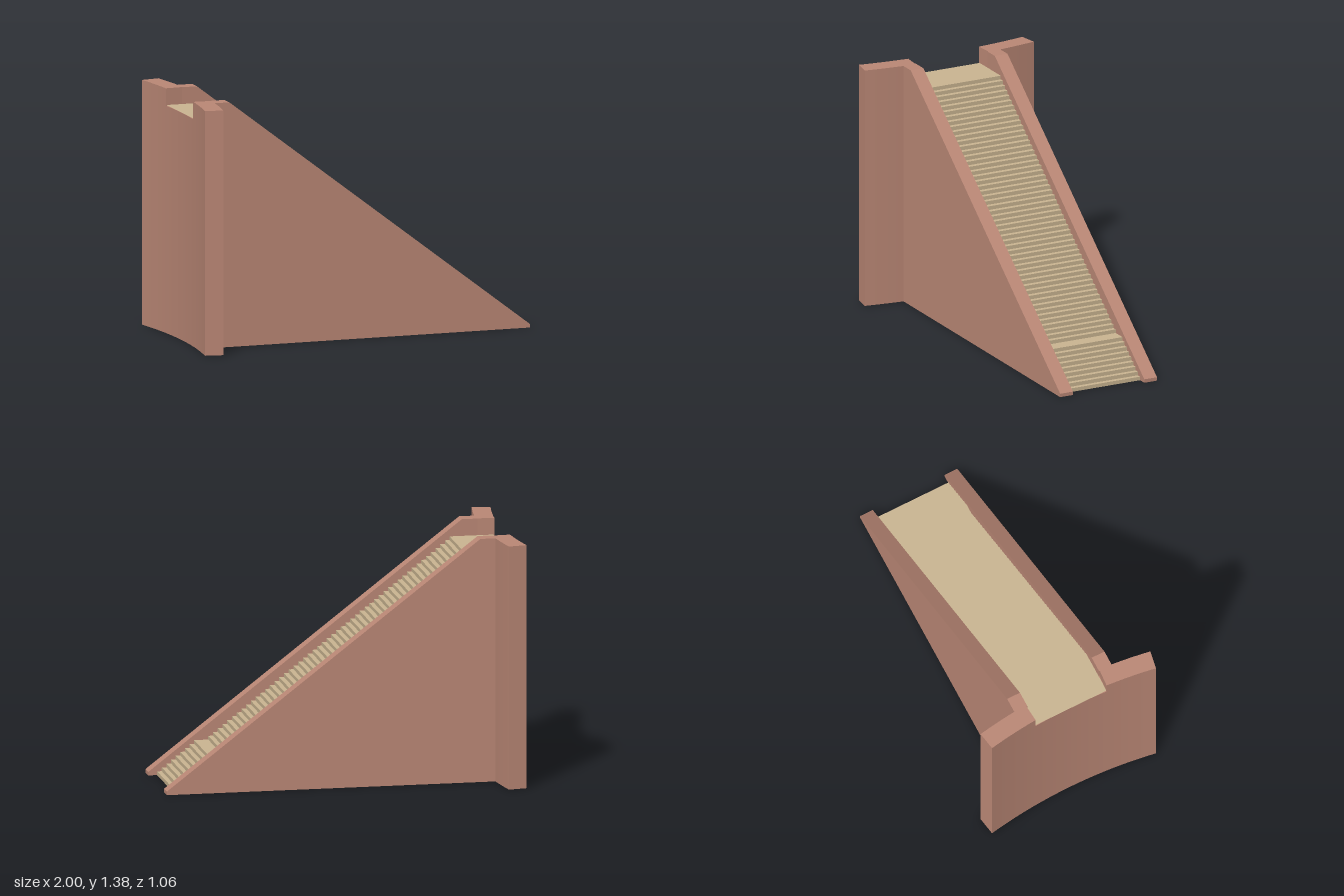
import * as THREE from 'three';

const brick = new THREE.MeshStandardMaterial({ color: 0xba8775, side: THREE.DoubleSide });
brick.name = 'brick';
const sand = new THREE.MeshStandardMaterial({ color: 0xcab591, side: THREE.DoubleSide });
sand.name = 'sandstone';

const HEIGHT = 1.385, LANDING = 1.29, INNER = 0.225, OUTER = 0.305;

function add(parent, name, geometry, material) {
  const mesh = new THREE.Mesh(geometry, material);
  mesh.name = name;
  parent.add(mesh);
  return mesh;
}

// Folded sheet: an x/y profile swept straight from z0 to z1
function ribbon(profile, z0, z1) {
  const pos = [];
  for (let i = 0; i < profile.length - 1; i++) {
    const [ax, ay] = profile[i], [bx, by] = profile[i + 1];
    pos.push(ax, ay, z0, ax, ay, z1, bx, by, z1, ax, ay, z0, bx, by, z1, bx, by, z0);
  }
  const g = new THREE.BufferGeometry();
  g.setAttribute('position', new THREE.Float32BufferAttribute(pos, 3));
  g.computeVertexNormals();
  return g;
}

// Flat upright panel at a given z
function panel(points, z) {
  const shape = new THREE.Shape(points.map(([x, y]) => new THREE.Vector2(x, y)));
  return new THREE.ShapeGeometry(shape).translate(0, 0, z);
}

// Piece of the curved end wall between two angles
function arcSlab(a0, a1, height) {
  const r0 = 3, r1 = 3.105, cx = -0.956 - r0;
  const shape = new THREE.Shape();
  shape.absarc(cx, 0, r1, a0, a1, false);
  shape.absarc(cx, 0, r0, a1, a0, true);
  const g = new THREE.ExtrudeGeometry(shape, { depth: height, bevelEnabled: false, curveSegments: 10 });
  return g.rotateX(-Math.PI / 2);
}

export function createModel() {
  const model = new THREE.Group();
  model.name = 'stairway';

  // Curved end wall, lower in the middle to leave the doorway to the landing
  const endWall = new THREE.Group();
  endWall.name = 'endWall';
  model.add(endWall);
  const door = Math.asin(INNER / 3.03), end = 0.1723;
  add(endWall, 'endWallMiddle', arcSlab(-door, door, LANDING - 0.004), brick);
  add(endWall, 'endWallLeft', arcSlab(-end, -door, HEIGHT), brick);
  add(endWall, 'endWallRight', arcSlab(door, end, HEIGHT), brick);

  // Hollow side walls with a sloping coping and a shallow inner lip
  const top = [[-0.87, HEIGHT], [-0.78, HEIGHT], [1, 0.02], [1, 0]];
  for (const side of [1, -1]) {
    const wall = new THREE.Group();
    wall.name = side > 0 ? 'sideWallLeft' : 'sideWallRight';
    model.add(wall);
    add(wall, 'outerPanel', panel([[-0.87, 0], [1, 0], [1, 0.02], [-0.78, HEIGHT], [-0.87, HEIGHT]], side * OUTER), brick);
    add(wall, 'coping', side > 0 ? ribbon(top, INNER, OUTER) : ribbon(top, -OUTER, -INNER), brick);
    add(wall, 'innerLip', panel([[-0.87, HEIGHT], [-0.87, 1.27], [-0.78, 1.27], [0.88, 0], [1, 0], [1, 0.02], [-0.78, HEIGHT]], side * INNER), brick);
  }

  // Landing and flight of steps, with one deeper tread near the foot
  const upper = 51, lower = 8, rise = LANDING / (upper + lower + 2);
  const steps = [[-0.96, LANDING], [-0.71, LANDING]];
  let x = -0.71, y = LANDING;
  for (let i = 0; i < upper + lower + 1; i++) {
    y -= rise;
    steps.push([x, y]);
    x += i < upper ? 1.37 / upper : i === upper ? 0.08 : 0.21 / lower;
    steps.push([x, y]);
  }
  steps.push([x, 0]);
  add(model, 'steps', ribbon(steps, -INNER, INNER), sand);

  return model;
}
